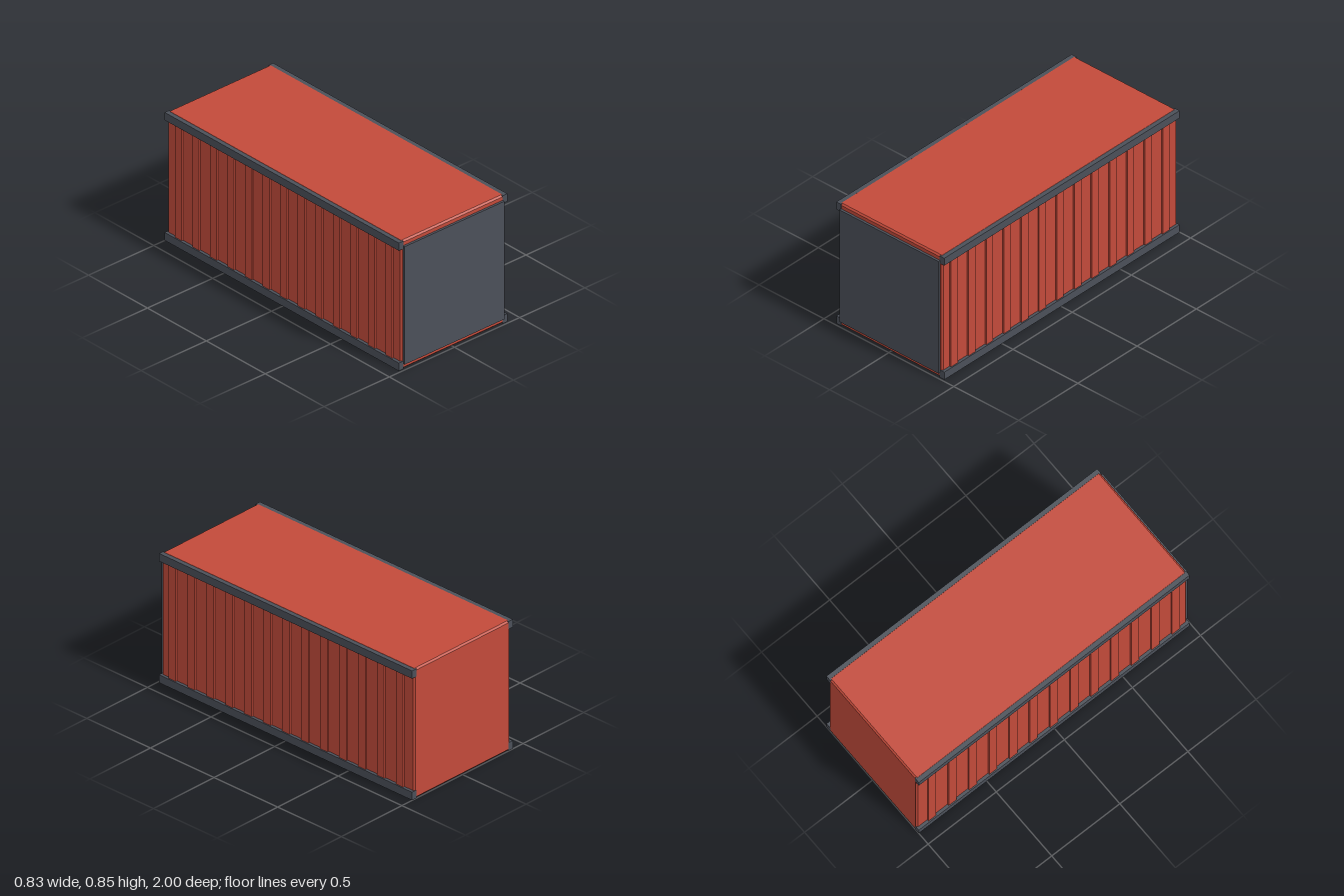
import * as THREE from 'three';
import { ConvexGeometry } from 'three/addons/geometries/ConvexGeometry.js';

const red = new THREE.MeshStandardMaterial({ color: 0xc24a3a });
red.name = 'container red';
const grey = new THREE.MeshStandardMaterial({ color: 0x4b5059 });
grey.name = 'frame grey';

// Box between two corners
function box(name, material, min, max) {
  const size = max.map((v, i) => v - min[i]);
  const mesh = new THREE.Mesh(new THREE.BoxGeometry(...size), material);
  mesh.position.set(...min.map((v, i) => v + size[i] / 2));
  mesh.name = name;
  return mesh;
}

// Box whose edges are all cut by a flat chamfer
function chamferedBox(w, h, d, c) {
  const points = [];
  const half = [w / 2, h / 2, d / 2];
  for (const sx of [-1, 1]) for (const sy of [-1, 1]) for (const sz of [-1, 1]) {
    const signs = [sx, sy, sz];
    for (let axis = 0; axis < 3; axis++) {
      points.push(new THREE.Vector3(...half.map((v, i) => signs[i] * (i === axis ? v : v - c))));
    }
  }
  return new ConvexGeometry(points);
}

export function createModel() {
  const group = new THREE.Group();
  group.name = 'shippingContainer';

  // Main shell
  const body = new THREE.Mesh(chamferedBox(0.794, 0.845, 1.984, 0.01), red);
  body.name = 'body';
  body.position.set(0, 0.4225, -0.007);
  group.add(body);

  // Door panel on the front
  group.add(box('door', grey, [-0.382, 0.035, 0.975], [0.382, 0.812, 1]));

  for (const side of [-1, 1]) {
    const x0 = side > 0 ? 0.38 : -0.416;
    const x1 = side > 0 ? 0.416 : -0.38;

    // Long rails along the lower and upper edges
    group.add(box('bottomRail', grey, [x0, 0.001, -1], [x1, 0.053, 0.988]));
    group.add(box('topRail', grey, [x0, 0.793, -1], [x1, 0.844, 0.988]));

    // Thirteen upright ribs on each side wall
    for (let i = -6; i <= 6; i++) {
      const z = i * 0.149;
      const inner = side > 0 ? 0.39 : -0.408;
      group.add(box('sideRib', red, [inner, 0.04, z - 0.0285], [inner + 0.018, 0.805, z + 0.0285]));
    }
  }
  return group;
}
